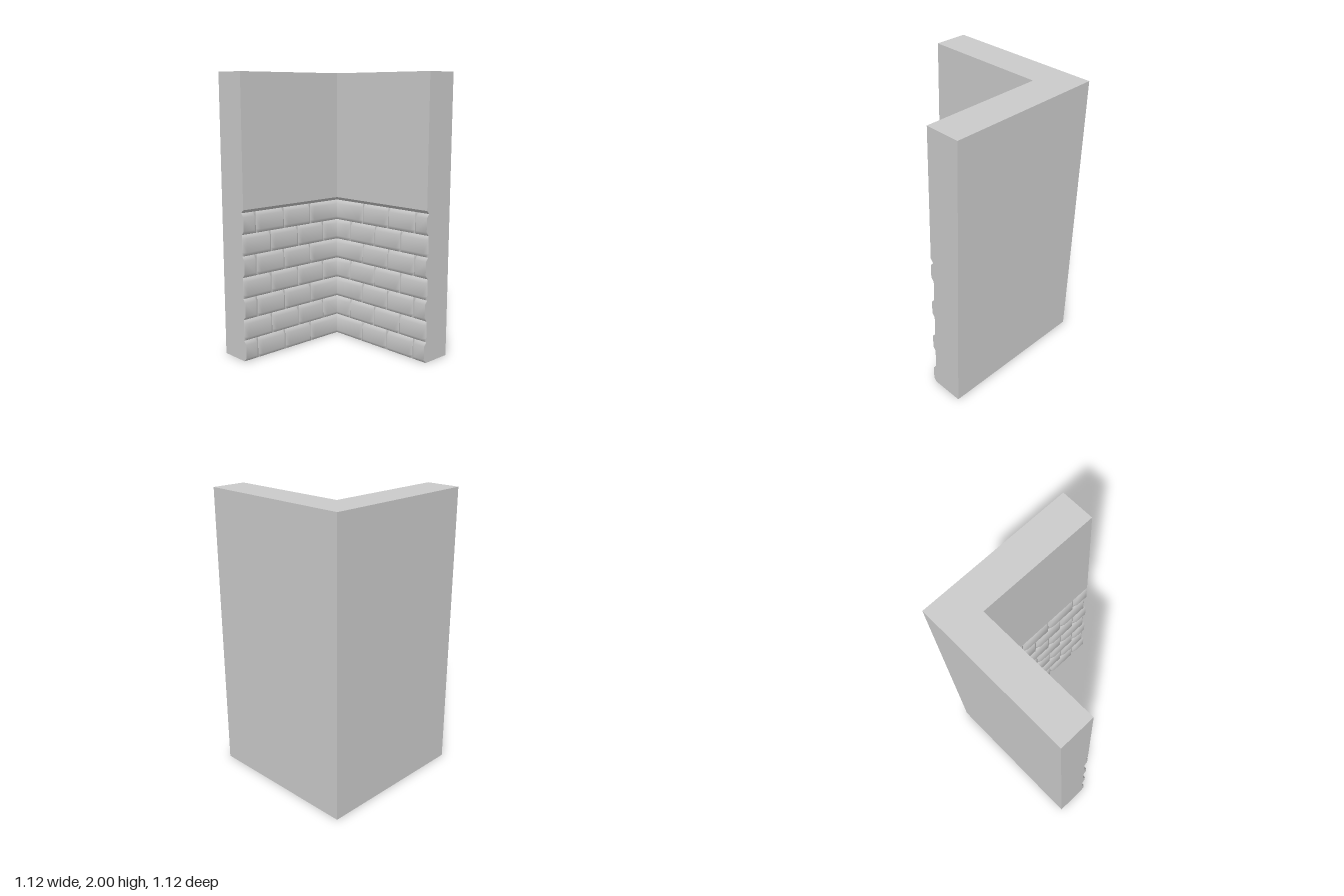
import * as THREE from 'three';

const OUT = 0.56;        // outer extent of both wings
const FACE = -0.315;     // wall and tile face plane
const GROOVE = -0.337;   // bottom of the joints between tiles
const ROWS = 7, ROW_H = 0.151, TILE_W = 0.25, BEVEL = 0.027;
const TILE_TOP = ROWS * ROW_H, LIP_TOP = 1.08, HEIGHT = 2;

const material = new THREE.MeshStandardMaterial({ color: 0xcccccc });

function part(name, geometry) {
  const mesh = new THREE.Mesh(geometry, material);
  mesh.name = name;
  return mesh;
}

// Grid facing +z; an x of null is mitred into the inner corner.
function patch(xs, ys, depth) {
  const pos = [], index = [], n = xs.length;
  ys.forEach((y, j) => xs.forEach((x, i) => {
    const z = depth(i, j);
    pos.push(x === null ? z : x, y, z);
  }));
  for (let j = 0; j < ys.length - 1; j++) {
    for (let i = 0; i < n - 1; i++) {
      const a = j * n + i, b = a + 1, c = b + n, d = a + n;
      index.push(a, b, c, a, c, d);
    }
  }
  const g = new THREE.BufferGeometry();
  g.setAttribute('position', new THREE.Float32BufferAttribute(pos, 3));
  g.setIndex(index);
  g.computeVertexNormals();
  return g;
}

// Bevelled tile, left plain where it meets the corner or is cut by the wall end.
function tile(x0, x1, y0) {
  const atCorner = x0 < FACE + 0.01, cut = x1 > OUT + 0.01;
  const xs = atCorner ? [null] : [x0, x0 + BEVEL];
  if (cut) xs.push(OUT); else xs.push(x1 - BEVEL, x1);
  const y1 = y0 + ROW_H;
  const last = xs.length - 1;
  return patch(xs, [y0, y0 + BEVEL, y1 - BEVEL, y1], (i, j) => {
    const edge = j === 0 || j === 3 || (i === 0 && !atCorner) || (i === last && !cut);
    return edge ? GROOVE : FACE;
  });
}

// Wall end following the tile profile.
function endCap() {
  const pts = [[-OUT, 0], [GROOVE, 0]];
  for (let r = 0; r < ROWS; r++) {
    const y = r * ROW_H;
    if (r % 2 === 0) pts.push([FACE, y + BEVEL], [FACE, y + ROW_H - BEVEL]);
    pts.push([GROOVE, y + ROW_H]);
  }
  pts.push([FACE, LIP_TOP], [FACE, HEIGHT], [-OUT, HEIGHT]);
  const shape = new THREE.Shape(pts.map(([z, y]) => new THREE.Vector2(-z, y)));
  return new THREE.ShapeGeometry(shape).rotateY(Math.PI / 2).translate(OUT, 0, 0);
}

// Reflects a geometry across the diagonal x = z and keeps it facing outward.
function swapXZ(source) {
  const g = source.clone();
  for (const key of ['position', 'normal']) {
    const a = g.attributes[key];
    for (let i = 0; i < a.count; i++) a.setXYZ(i, a.getZ(i), a.getY(i), a.getX(i));
  }
  g.setIndex(Array.from(g.index.array).reverse());
  return g;
}

// L-shaped horizontal face, pointing up or down.
function floorPlan(inner, y, up) {
  const pts = [[-OUT, -OUT], [OUT, -OUT], [OUT, inner], [inner, inner], [inner, OUT], [-OUT, OUT]];
  const s = up ? -1 : 1;
  const shape = new THREE.Shape(pts.map(([x, z]) => new THREE.Vector2(x, s * z)));
  return new THREE.ShapeGeometry(shape).rotateX(s * Math.PI / 2).translate(0, y, 0);
}

// Parts of the wing running along x.
function wingParts() {
  const parts = [
    ['upperWall', patch([null, OUT], [LIP_TOP, HEIGHT], () => FACE)],
    ['lip', patch([null, OUT], [TILE_TOP, LIP_TOP], (i, j) => (j ? FACE : GROOVE))],
    ['outerWall', new THREE.PlaneGeometry(2 * OUT, HEIGHT).rotateY(Math.PI).translate(0, HEIGHT / 2, -OUT)],
    ['wallEnd', endCap()],
  ];
  for (let r = 0; r < ROWS; r++) {
    // Running bond: odd rows start with a half tile.
    let x0 = -0.31, x1 = r % 2 ? -0.19 : -0.06;
    while (x0 < OUT - 0.01) {
      parts.push(['tile', tile(x0, x1, r * ROW_H)]);
      x0 = x1;
      x1 += TILE_W;
    }
  }
  return parts;
}

export function createModel() {
  const model = new THREE.Group();
  model.name = 'tiledCornerWall';
  const backWing = new THREE.Group(), sideWing = new THREE.Group();
  backWing.name = 'backWing';
  sideWing.name = 'sideWing';
  for (const [name, geometry] of wingParts()) {
    backWing.add(part(name, geometry));
    sideWing.add(part(name, swapXZ(geometry)));
  }
  model.add(backWing, sideWing);
  model.add(part('topFace', floorPlan(FACE, HEIGHT, true)));
  model.add(part('bottomFace', floorPlan(GROOVE, 0, false)));
  return model;
}
